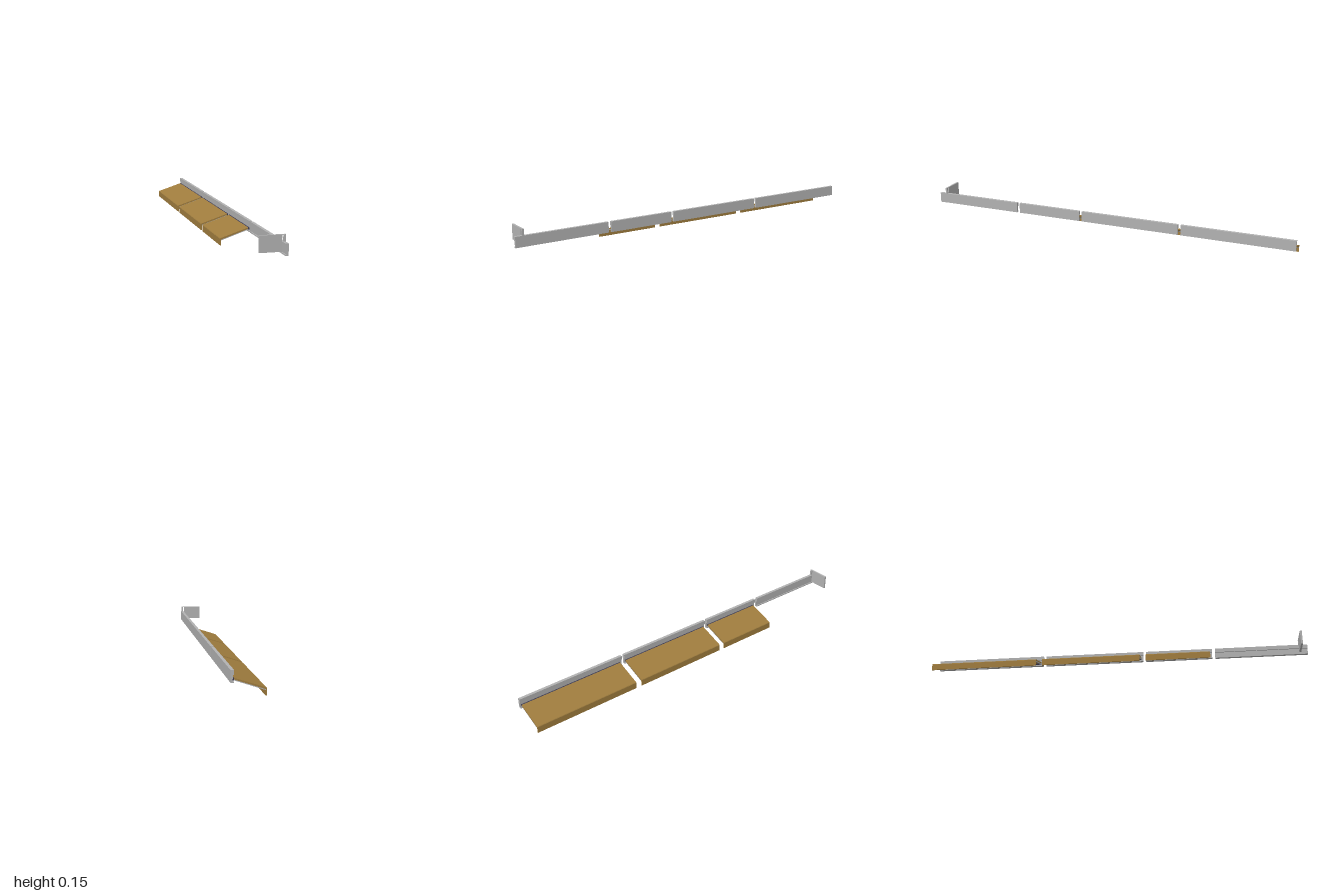
import * as THREE from 'three';

const brown = new THREE.MeshStandardMaterial({ color: 0xa07d3e });
brown.name = 'bronze brown';
const grey = new THREE.MeshStandardMaterial({ color: 0xb2b2b2 });
grey.name = 'light grey';
const slate = new THREE.MeshStandardMaterial({ color: 0x3c3a52 });
slate.name = 'dark slate';

// Extrudes an x/y outline between two z positions
function extrude(name, points, z0, z1, material) {
  const shape = new THREE.Shape(points.map(([x, y]) => new THREE.Vector2(x, y)));
  const geometry = new THREE.ExtrudeGeometry(shape, { depth: z1 - z0, bevelEnabled: false });
  geometry.translate(0, 0, z0);
  const mesh = new THREE.Mesh(geometry, material);
  mesh.name = name;
  return mesh;
}

// Channel section: thick top lip, outer web and thin bottom lip
const railProfile = [
  [0.077, 0.06], [0.077, 0.114], [0.062, 0.114], [0.062, 0.093],
  [0.068, 0.093], [0.068, 0.066], [0.063, 0.066], [0.063, 0.06],
];
// Sloping sheet with a vertical drip edge
const canopyProfile = [
  [-0.078, 0], [-0.073, 0], [-0.073, 0.028], [0.062, 0.073],
  [0.062, 0.08], [-0.076, 0.035], [-0.078, 0.032],
];
// Narrow rib along each end of the sheet
const ribProfile = [[-0.073, 0.024], [0.062, 0.069], [0.062, 0.073], [-0.073, 0.028]];
// Strip joining the sheet to the rail
const flashingProfile = [[0.062, 0.069], [0.068, 0.069], [0.068, 0.08], [0.062, 0.08]];
// End sign with a hooked arm reaching over the rail
const signProfile = [
  [-0.041, 0.071], [0.06, 0.071], [0.06, 0.143], [0.068, 0.143],
  [0.068, 0.1], [0.077, 0.1], [0.077, 0.146], [-0.041, 0.146],
];

export function createModel() {
  const model = new THREE.Group();
  model.name = 'canopyRow';

  // Each bay: rail start and end, then canopy start and end
  const bays = [
    [0.513, 1, null, null],
    [0.143, 0.497, 0.149, 0.485],
    [-0.403, 0.128, -0.397, 0.118],
    [-1, -0.418, -0.993, -0.43],
  ];
  for (const [r0, r1, c0, c1] of bays) {
    const bay = new THREE.Group();
    bay.name = 'bay';
    bay.add(extrude('rail', railProfile, r0, r1, grey));
    if (c0 !== null) {
      bay.add(extrude('canopy', canopyProfile, c0, c1, brown));
      bay.add(extrude('flashing', flashingProfile, c0, c1, slate));
      for (const z of [c0, c1 - 0.005]) bay.add(extrude('endRib', ribProfile, z, z + 0.005, grey));
    }
    model.add(bay);
  }

  model.add(extrude('endSign', signProfile, 0.955, 0.965, grey));
  return model;
}
